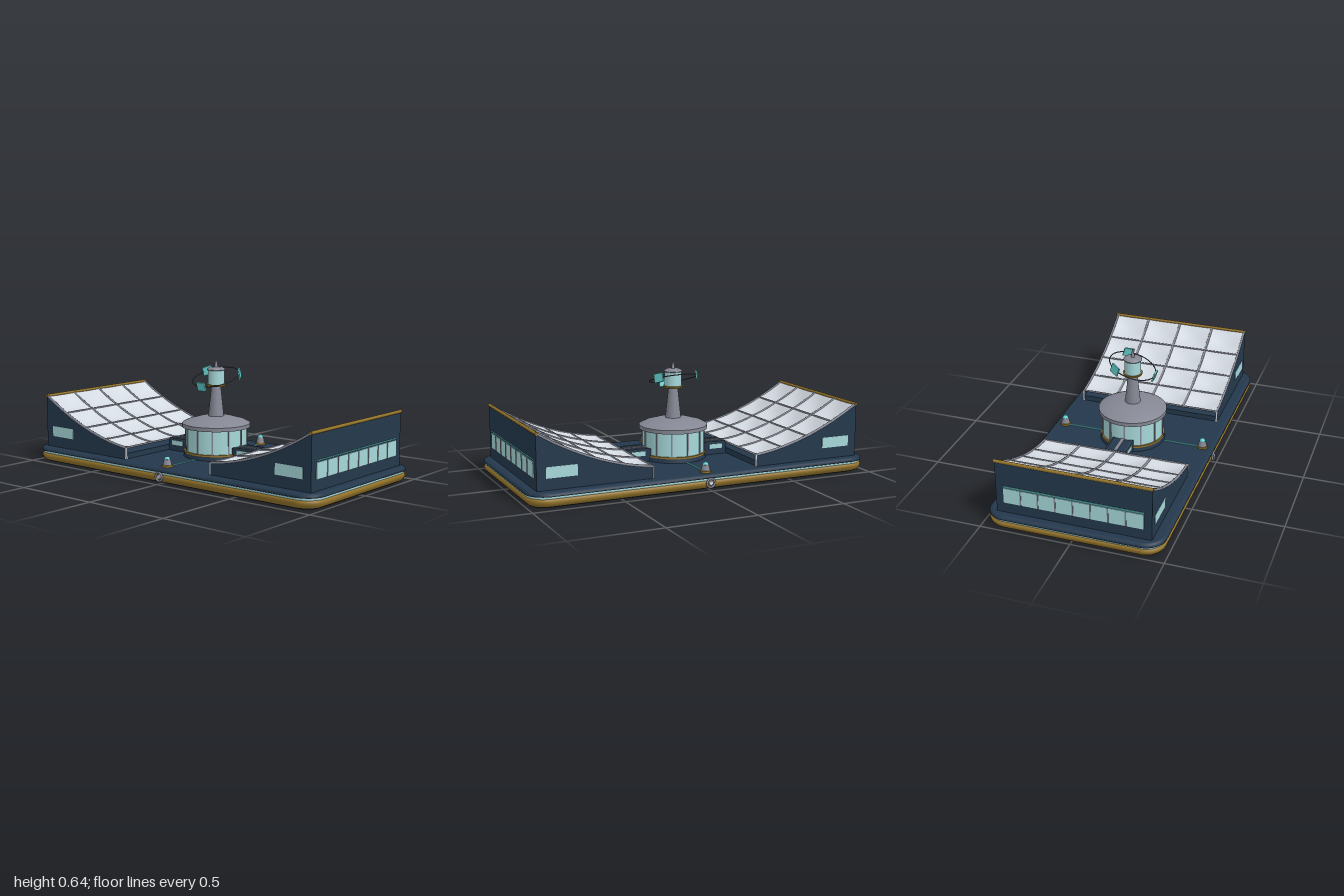
import * as THREE from 'three';

const mat = (name, color, side = THREE.FrontSide) => {
  const m = new THREE.MeshStandardMaterial({ color, side });
  m.name = name;
  return m;
};
const navy = mat('navy', 0x24384c);
const ochre = mat('ochre', 0x94742a);
const dark = mat('underside', 0x28282b);
const grey = mat('grey metal', 0x858894);
const glass = mat('pale glass', 0xa6d8da, THREE.DoubleSide);
const teal = mat('teal', 0x62cdcb);
const sail = mat('sail panel', 0xd3d9e1, THREE.DoubleSide);
const trim = mat('dark trim', 0x4a4f5a);

function add(parent, name, geo, material, x = 0, y = 0, z = 0) {
  const m = new THREE.Mesh(geo, material);
  m.name = name;
  m.position.set(x, y, z);
  parent.add(m);
  return m;
}
const box = (w, h, d) => new THREE.BoxGeometry(w, h, d);
const cyl = (rt, rb, h, n = 32) => new THREE.CylinderGeometry(rt, rb, h, n);
const lathe = (pts, n = 48) => new THREE.LatheGeometry(pts.map(p => new THREE.Vector2(...p)), n);

// Outline of the rounded platform, drawn in by an inset
function outline(inset) {
  const pts = [], r = 0.11 - inset;
  for (let q = 0; q < 4; q++) for (let i = 0; i <= 8; i++) {
    const a = (q + i / 8) * Math.PI / 2;
    const sx = q === 0 || q === 3 ? 1 : -1, sz = q < 2 ? 1 : -1;
    pts.push(new THREE.Vector2(sx * 0.89 + r * Math.cos(a), sz * 0.37 + r * Math.sin(a)));
  }
  return pts;
}
// Skin through outlines given as [inset, height] from bottom to top
function loft(profile) {
  const pos = [], idx = [];
  profile.forEach(([inset, y]) => outline(inset).forEach(p => pos.push(p.x, y, p.y)));
  const n = outline(0).length;
  for (let j = 0; j < profile.length - 1; j++) for (let i = 0; i < n; i++) {
    const a = j * n + i, c = j * n + (i + 1) % n;
    idx.push(a, a + n, c, c, a + n, c + n);
  }
  const g = new THREE.BufferGeometry();
  g.setAttribute('position', new THREE.Float32BufferAttribute(pos, 3));
  g.setIndex(idx);
  g.computeVertexNormals();
  return g;
}

function platform() {
  const g = new THREE.Group();
  g.name = 'platform';
  add(g, 'bilge', loft([[0.05, 0], [0.028, 0.004], [0.014, 0.013]]), dark);
  add(g, 'bumper', loft([[0.014, 0.013], [0.004, 0.025], [0, 0.038], [0.003, 0.048], [0.009, 0.052]]), ochre);
  add(g, 'waterline', loft([[0.009, 0.052], [0.008, 0.063]]), glass);
  add(g, 'deckEdge', loft([[0.008, 0.063], [0, 0.065], [0, 0.074], [0.006, 0.081], [0.016, 0.085]]), navy);
  add(g, 'bottom', new THREE.ShapeGeometry(new THREE.Shape(outline(0.05))).rotateX(Math.PI / 2), dark);
  add(g, 'deck', new THREE.ShapeGeometry(new THREE.Shape(outline(0.016))).rotateX(-Math.PI / 2), navy, 0, 0.085);
  return g;
}

// Sweep of the wing roof
const X0 = 0.31, X1 = 0.95, HALF = 0.415;
const roofY = t => 0.15 + 0.235 * (0.3 * t + 0.7 * t * t);
const roofX = t => X0 + (X1 - X0) * t;

function wingSection(drop, depth) {
  const s = new THREE.Shape();
  s.moveTo(X0, 0.08);
  s.lineTo(X1, 0.08);
  for (let i = 16; i >= 0; i--) s.lineTo(roofX(i / 16), roofY(i / 16) - drop);
  return new THREE.ExtrudeGeometry(s, { depth, bevelEnabled: false }).translate(0, 0, -depth / 2);
}

// One sagging panel of the roof
function sailCell(col, row) {
  const g = new THREE.PlaneGeometry(1, 1, 10, 10), p = g.attributes.position;
  for (let i = 0; i < p.count; i++) {
    const u = p.getX(i) + 0.5, v = 0.5 - p.getY(i), t = (col + u) / 4;
    const sag = 0.022 * Math.sin(Math.PI * u) * Math.sin(Math.PI * v);
    p.setXYZ(i, roofX(t), roofY(t) + 0.002 - sag, -HALF + 2 * HALF * (row + v) / 4);
  }
  g.computeVertexNormals();
  return g;
}

function wing() {
  const g = new THREE.Group();
  g.name = 'wing';
  add(g, 'wingBody', wingSection(0.034, 0.83), navy);
  add(g, 'outerWall', box(0.008, 0.3, 0.83), navy, 0.946, 0.23);
  for (const s of [-1, 1]) {
    add(g, 'sideWall', wingSection(0, 0.008), navy, 0, 0, s * 0.416);
    add(g, 'sideWindow', box(0.17, 0.06, 0.008), glass, 0.815, 0.177, s * 0.418);
    add(g, 'cornerPost', box(0.008, 0.065, 0.012), sail, 0.306, 0.118, s * 0.416);
  }
  // Sail panels and their ribs
  for (let c = 0; c < 4; c++) for (let r = 0; r < 4; r++) add(g, 'sailPanel', sailCell(c, r), sail);
  const pts = Array.from({ length: 9 }, (_, i) => new THREE.Vector3(roofX(i / 8), roofY(i / 8), 0));
  const rib = new THREE.TubeGeometry(new THREE.CatmullRomCurve3(pts), 24, 0.007, 8);
  const bar = cyl(0.006, 0.006, 0.84, 8).rotateX(Math.PI / 2);
  for (let i = 0; i <= 4; i++) {
    add(g, 'rib', rib, grey, 0, 0, -HALF + HALF * i / 2);
    if (i < 4) add(g, 'crossBar', bar, grey, roofX(i / 4), roofY(i / 4));
  }
  add(g, 'ridge', cyl(0.009, 0.009, 0.85, 12).rotateX(Math.PI / 2), ochre, 0.946, 0.383);
  // Window band on the outer wall
  add(g, 'windowBand', box(0.008, 0.087, 0.755), glass, 0.95, 0.188);
  add(g, 'lightStrip', box(0.008, 0.006, 0.755), teal, 0.95, 0.24);
  for (let i = 1; i < 8; i++) add(g, 'mullion', box(0.012, 0.087, 0.007), grey, 0.951, 0.188, -0.3775 + i * 0.0944);
  // Passage to the drum
  add(g, 'passage', box(0.15, 0.07, 0.12), navy, 0.23, 0.12);
  add(g, 'passageRoof', box(0.15, 0.006, 0.02), grey, 0.23, 0.157);
  for (const s of [-1, 1]) {
    add(g, 'passageWindow', box(0.08, 0.026, 0.006), glass, 0.24, 0.132, s * 0.06);
    add(g, 'passageRail', box(0.12, 0.006, 0.006), trim, 0.24, 0.156, s * 0.057);
  }
  return g;
}

function tower() {
  const g = new THREE.Group();
  g.name = 'tower';
  add(g, 'drumBase', cyl(0.18, 0.185, 0.025, 48), navy, 0, 0.097);
  add(g, 'drumBand', cyl(0.183, 0.183, 0.01, 48), ochre, 0, 0.113);
  add(g, 'drumGlass', cyl(0.174, 0.174, 0.14, 48), glass, 0, 0.185);
  for (let i = 0; i < 12; i++) {
    const a = (i + 0.1) * Math.PI / 6;
    const m = add(g, 'drumMullion', box(0.008, 0.135, 0.008), grey, 0.175 * Math.sin(a), 0.185, 0.175 * Math.cos(a));
    m.rotation.y = a;
  }
  add(g, 'drumRoofEdge', cyl(0.193, 0.193, 0.022, 48), grey, 0, 0.262);
  add(g, 'drumRoof', lathe([[0.193, 0.273], [0.16, 0.29], [0.1, 0.306], [0.04, 0.313], [0, 0.313]]), grey);
  add(g, 'mast', cyl(0.026, 0.045, 0.18), grey, 0, 0.395);
  add(g, 'lanternRing', cyl(0.056, 0.052, 0.011), ochre, 0, 0.488);
  add(g, 'lantern', cyl(0.047, 0.047, 0.082), glass, 0, 0.534);
  add(g, 'lanternRoof', lathe([[0, 0.573], [0.052, 0.573], [0.052, 0.579], [0.036, 0.589], [0, 0.59]], 24), grey);
  add(g, 'spire', cyl(0.003, 0.011, 0.048, 16), grey, 0, 0.613);

  // Tilted ring with three plates
  const halo = new THREE.Group();
  halo.name = 'halo';
  halo.position.set(0, 0.533, 0);
  halo.rotation.x = 0.316;
  add(halo, 'haloRing', new THREE.TorusGeometry(0.135, 0.003, 8, 64).rotateX(Math.PI / 2), trim);
  for (let i = 0; i < 3; i++) {
    const a = i * Math.PI * 2 / 3;
    const p = add(halo, 'haloPlate', box(0.058, 0.05, 0.009), teal, 0.135 * Math.sin(a), 0, 0.135 * Math.cos(a));
    p.rotation.y = a;
  }
  g.add(halo);
  return g;
}

// Deck strip, beacon and mooring fitting for one long side
function deckFittings() {
  const g = new THREE.Group();
  g.name = 'deckFittings';
  add(g, 'deckStrip', box(0.01, 0.006, 0.22), teal, 0, 0.087, 0.3);
  add(g, 'beaconBase', cyl(0.03, 0.03, 0.012, 24), ochre, 0, 0.09, 0.415);
  add(g, 'beaconBody', cyl(0.018, 0.025, 0.032, 24), grey, 0, 0.111, 0.415);
  add(g, 'beaconLamp', new THREE.SphereGeometry(0.017, 20, 10, 0, Math.PI * 2, 0, Math.PI / 2), teal, 0, 0.125, 0.415);
  add(g, 'mooringRing', new THREE.TorusGeometry(0.023, 0.006, 10, 28), grey, 0, 0.04, 0.483);
  add(g, 'mooringHub', cyl(0.012, 0.012, 0.012, 16).rotateX(Math.PI / 2), sail, 0, 0.04, 0.481);
  return g;
}

export function createModel() {
  const model = new THREE.Group();
  model.name = 'floatingStation';
  model.add(platform(), tower());
  for (const turn of [0, Math.PI]) {
    const w = wing(), f = deckFittings();
    w.rotation.y = f.rotation.y = turn;
    model.add(w, f);
  }
  return model;
}
